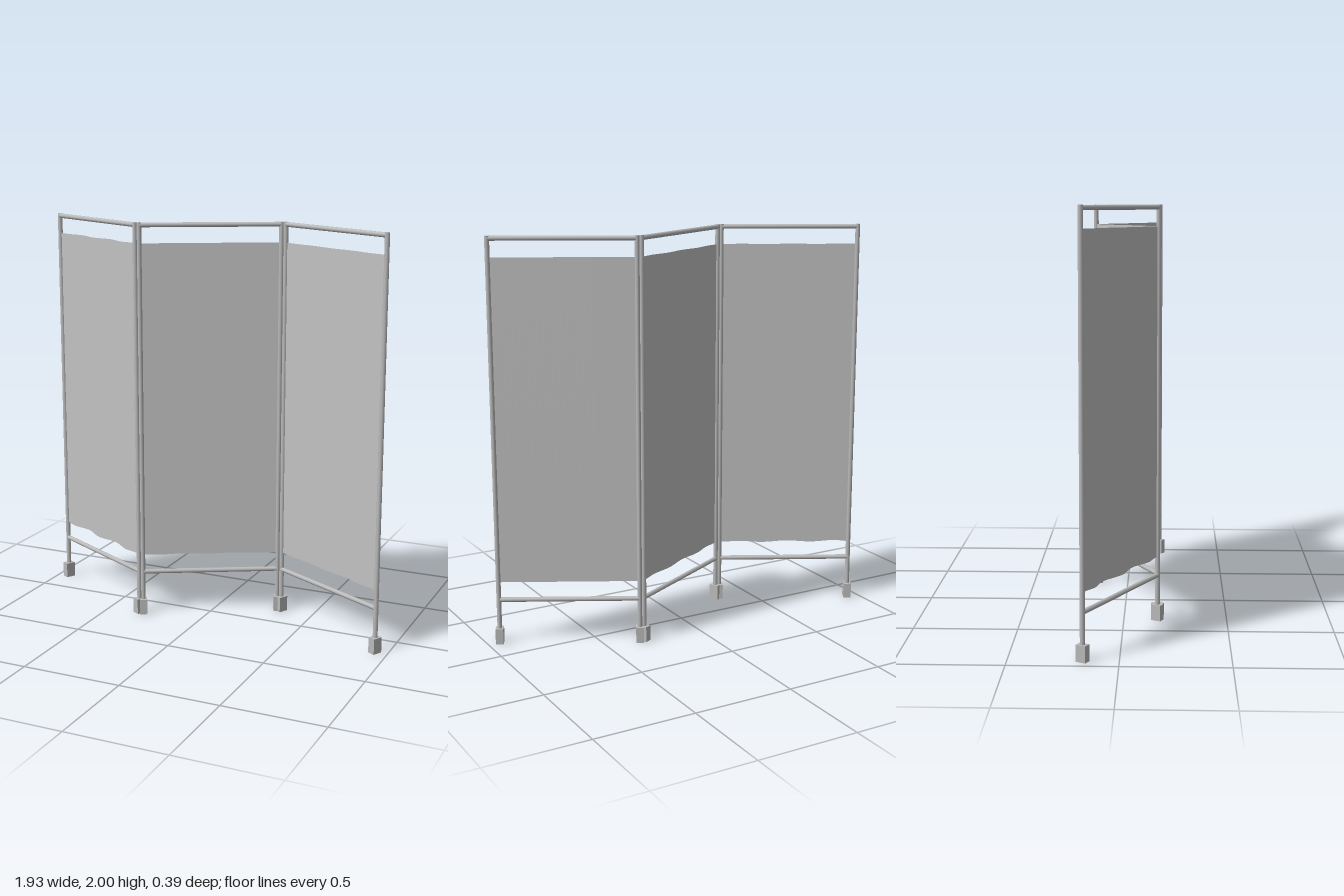
import * as THREE from 'three';

const metal = new THREE.MeshStandardMaterial({ color: 0xbababa });
metal.name = 'greyMetal';
const fabric = new THREE.MeshStandardMaterial({ color: 0xc2c2c2, side: THREE.DoubleSide });
fabric.name = 'greyFabric';

const HALF_X = 0.305, HALF_Z = 0.163; // plan offsets of a panel's posts from its centre
const PITCH = 0.633;                  // distance between panel centres
const SPAN = 2 * Math.hypot(HALF_X, HALF_Z);
const ANGLE = Math.atan2(HALF_Z, HALF_X);
const TUBE = 0.0118;

function add(group, name, geometry, material, x, y, z = 0) {
  const mesh = new THREE.Mesh(geometry, material);
  mesh.name = name;
  mesh.position.set(x, y, z);
  group.add(mesh);
  return mesh;
}

// Hanging cloth with soft vertical folds, fading out at the posts
function clothGeometry(amplitude) {
  const width = SPAN - 0.012, height = 1.585;
  const geo = new THREE.PlaneGeometry(width, height, 30, 1);
  const p = geo.attributes.position;
  for (let i = 0; i < p.count; i++) {
    const t = p.getX(i) / width + 0.5;
    const fade = Math.min(1, t * 8, (1 - t) * 8);
    p.setZ(i, amplitude * fade * Math.sin(t * Math.PI * 5.2));
  }
  return geo;
}

// One framed panel lying along its local x axis
function makePanel(amplitude) {
  const panel = new THREE.Group();
  const post = new THREE.CylinderGeometry(TUBE, TUBE, 1.93, 10);
  const rail = new THREE.CylinderGeometry(TUBE, TUBE, SPAN, 10).rotateZ(Math.PI / 2);
  const foot = new THREE.BoxGeometry(0.038, 0.078, 0.05);
  for (const side of [-1, 1]) {
    add(panel, 'post', post, metal, side * SPAN / 2, 1.035);
    add(panel, 'foot', foot, metal, side * SPAN / 2, 0.039);
  }
  add(panel, 'topRail', rail, metal, 0, 2 - TUBE);
  add(panel, 'bottomRail', rail, metal, 0, 0.225);
  add(panel, 'cloth', clothGeometry(amplitude), fabric, 0, 1.1075);
  return panel;
}

export function createModel() {
  const model = new THREE.Group();
  model.name = 'foldingScreen';
  const names = ['rightPanel', 'middlePanel', 'leftPanel'];
  const folds = [0.011, 0.006, 0.004];
  names.forEach((name, i) => {
    const panel = makePanel(folds[i]);
    panel.name = name;
    panel.position.x = (i - 1) * PITCH;
    panel.rotation.y = i === 1 ? ANGLE : -ANGLE; // zigzag
    model.add(panel);
  });
  return model;
}
